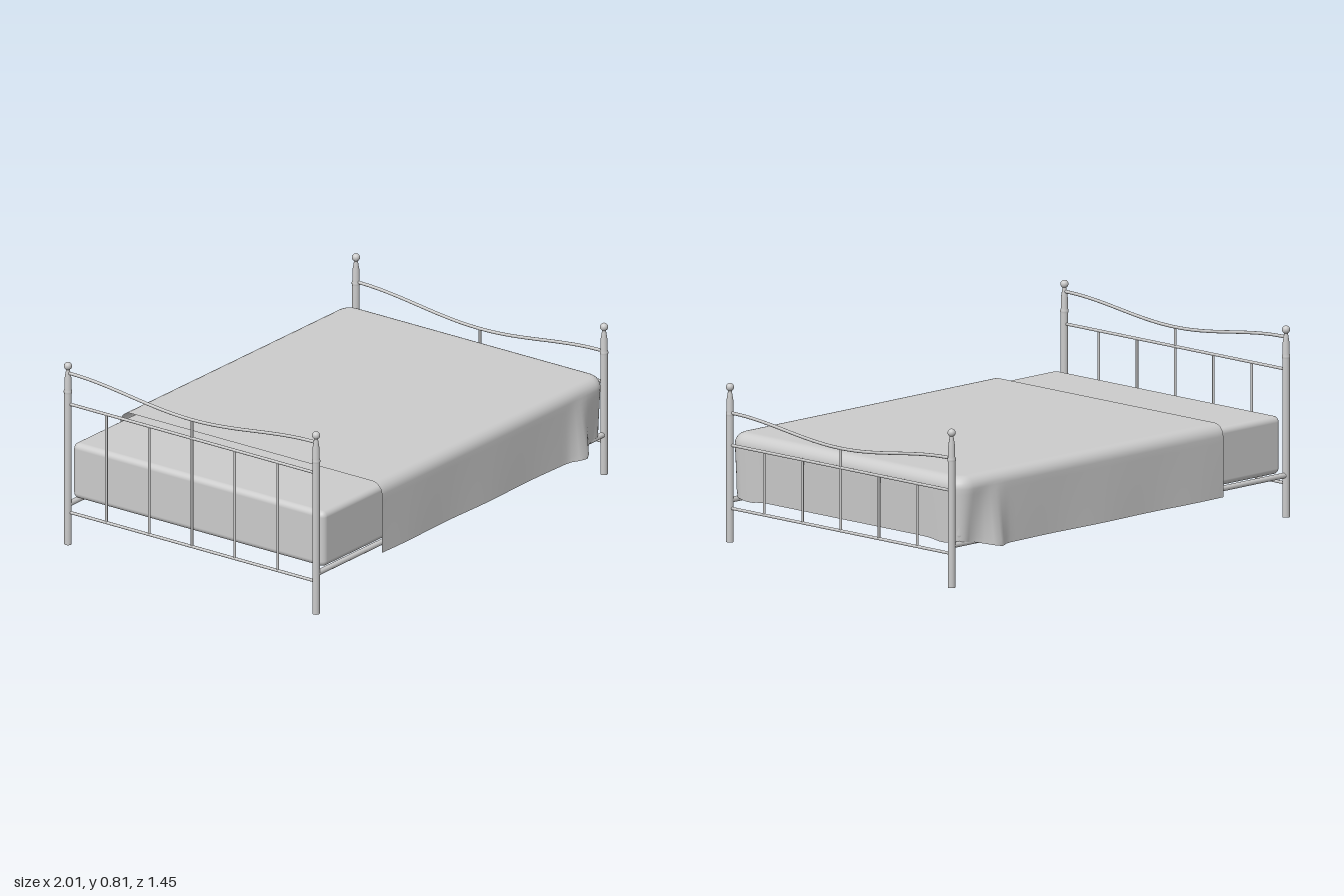
import * as THREE from 'three';
import { RoundedBoxGeometry } from 'three/addons/geometries/RoundedBoxGeometry.js';

const metal = new THREE.MeshStandardMaterial({ color: 0xcccccc });
const cloth = new THREE.MeshStandardMaterial({ color: 0xcccccc, side: THREE.DoubleSide });
const POST_X = 0.985, POST_Z = 0.645;

function add(parent, name, geometry, material = metal) {
  const mesh = new THREE.Mesh(geometry, material);
  mesh.name = name;
  parent.add(mesh);
  return mesh;
}

// Straight round bar between two points
function bar(parent, name, from, to, radius) {
  const a = new THREE.Vector3(...from), b = new THREE.Vector3(...to);
  const mesh = add(parent, name, new THREE.CylinderGeometry(radius, radius, a.distanceTo(b), 12));
  mesh.position.copy(a).add(b).multiplyScalar(0.5);
  mesh.quaternion.setFromUnitVectors(new THREE.Vector3(0, 1, 0), b.sub(a).normalize());
}

// Turned post with tapered neck and ball finial
function post(parent, x, z, height) {
  const points = [[0, 0], [0.0155, 0], [0.0155, height - 0.14], [0.0175, height - 0.135],
    [0.0175, height - 0.128], [0.015, height - 0.12], [0.014, height - 0.07], [0.009, height - 0.04], [0.009, height - 0.03]];
  const g = new THREE.LatheGeometry(points.map(p => new THREE.Vector2(...p)), 20);
  add(parent, 'post', g).position.set(x, 0, z);
  add(parent, 'finial', new THREE.SphereGeometry(0.017, 16, 12)).position.set(x, height - 0.017, z);
}

// Head or foot end: posts, swept top rail, straight rails and spindles
function endFrame(name, x, { height, top, dip, rail, low }) {
  const group = new THREE.Group();
  group.name = name;
  for (const s of [-1, 1]) post(group, x, s * POST_Z, height);

  const sweep = [];
  for (let i = 0; i <= 16; i++) {
    const t = i / 8 - 1;
    sweep.push(new THREE.Vector3(x, dip + (top - dip) * (1 - Math.cos(Math.PI * t)) / 2, t * POST_Z));
  }
  add(group, 'curvedRail', new THREE.TubeGeometry(new THREE.CatmullRomCurve3(sweep), 40, 0.007, 10));
  for (const y of [rail, low]) bar(group, 'straightRail', [x, y, -POST_Z], [x, y, POST_Z], 0.0065);
  for (let i = -2; i <= 2; i++) {
    const z = i * 0.2225;
    bar(group, 'spindle', [x, low, z], [x, i === 0 ? dip : rail, z], 0.0055);
  }
  return group;
}

// Three-sided plan outline of the cover, inset by d, with outward normals
const HEAD = -0.58, FOOT = 0.965, HALF = 0.68, CORNER = 0.075;
function outline(d) {
  const pts = [], r = CORNER - d, cx = FOOT - CORNER, cz = HALF - CORNER;
  for (let i = 0; i < 48; i++) pts.push([HEAD + (cx - HEAD) * i / 48, HALF - d, 0, 1]);
  for (let i = 0; i <= 8; i++) {
    const a = Math.PI / 2 * (1 - i / 8);
    pts.push([cx + r * Math.cos(a), cz + r * Math.sin(a), Math.cos(a), Math.sin(a)]);
  }
  for (let i = 1; i < 20; i++) pts.push([FOOT - d, cz * (1 - i / 20), 1, 0]);
  pts.push([FOOT - d, 0, 1, 0]);
  const mirrored = pts.slice(0, -1).reverse().map(([x, z, nx, nz]) => [x, -z, nx, -nz]);
  return pts.concat(mirrored);
}

// Draped cover: flat top, rolled shoulder, hanging sides with a fold by each foot corner
function coverGeometry() {
  const TOP = 0.458, ROLL = 0.05, rows = [];
  const bump = (x, c, w) => Math.exp(-(((x - c) / w) ** 2));
  rows.push(outline(ROLL).map(([x]) => [HEAD + (x - HEAD) * 0.55, TOP, 0]));
  rows.push(outline(ROLL + 0.015).map(([x, z]) => [x, TOP, z]));
  for (let i = 0; i <= 6; i++) {
    const a = Math.PI / 2 * i / 6;
    rows.push(outline(ROLL * (1 - Math.sin(a))).map(([x, z]) => [x, TOP - ROLL * (1 - Math.cos(a)), z]));
  }
  for (let i = 1; i <= 10; i++) {
    const t = i / 10;
    rows.push(outline(0).map(([x, z, nx, nz]) => {
      const side = Math.abs(nz);
      const hem = 0.15 + 0.035 * THREE.MathUtils.smoothstep(x, 0.72, 0.94)
        - nx * 0.01 * bump(Math.abs(z), 0.56, 0.05);
      const out = side * t * (0.042 * bump(x, 0.77, 0.045) - 0.022 * bump(x, 0.88, 0.05)
        + 0.003 * Math.sin(x * 11)) - nx * 0.008 * t;
      return [x + nx * out, THREE.MathUtils.lerp(TOP - ROLL, hem, t), z + nz * out];
    }));
  }
  const n = rows[0].length, index = [];
  for (let i = 0; i < rows.length - 1; i++) {
    for (let j = 0; j < n - 1; j++) {
      const a = i * n + j, b = a + n;
      index.push(a, b, a + 1, b, b + 1, a + 1);
    }
  }
  const g = new THREE.BufferGeometry();
  g.setAttribute('position', new THREE.Float32BufferAttribute(rows.flat(2), 3));
  g.setIndex(index);
  g.computeVertexNormals();
  return g;
}

export function createModel() {
  const bed = new THREE.Group();
  bed.name = 'bed';
  bed.add(endFrame('headboard', -POST_X, { height: 0.81, top: 0.762, dip: 0.707, rail: 0.625, low: 0.143 }));
  bed.add(endFrame('footboard', POST_X, { height: 0.672, top: 0.547, dip: 0.492, rail: 0.41, low: 0.143 }));

  // Side rails
  for (const s of [-1, 1]) bar(bed, 'sideRail', [-POST_X, 0.177, s * POST_Z], [POST_X, 0.177, s * POST_Z], 0.012);

  // Mattress and cover
  add(bed, 'mattress', new RoundedBoxGeometry(1.895, 0.245, 1.31, 4, 0.025)).position.set(0.002, 0.3125, 0);
  add(bed, 'cover', coverGeometry(), cloth);
  return bed;
}
